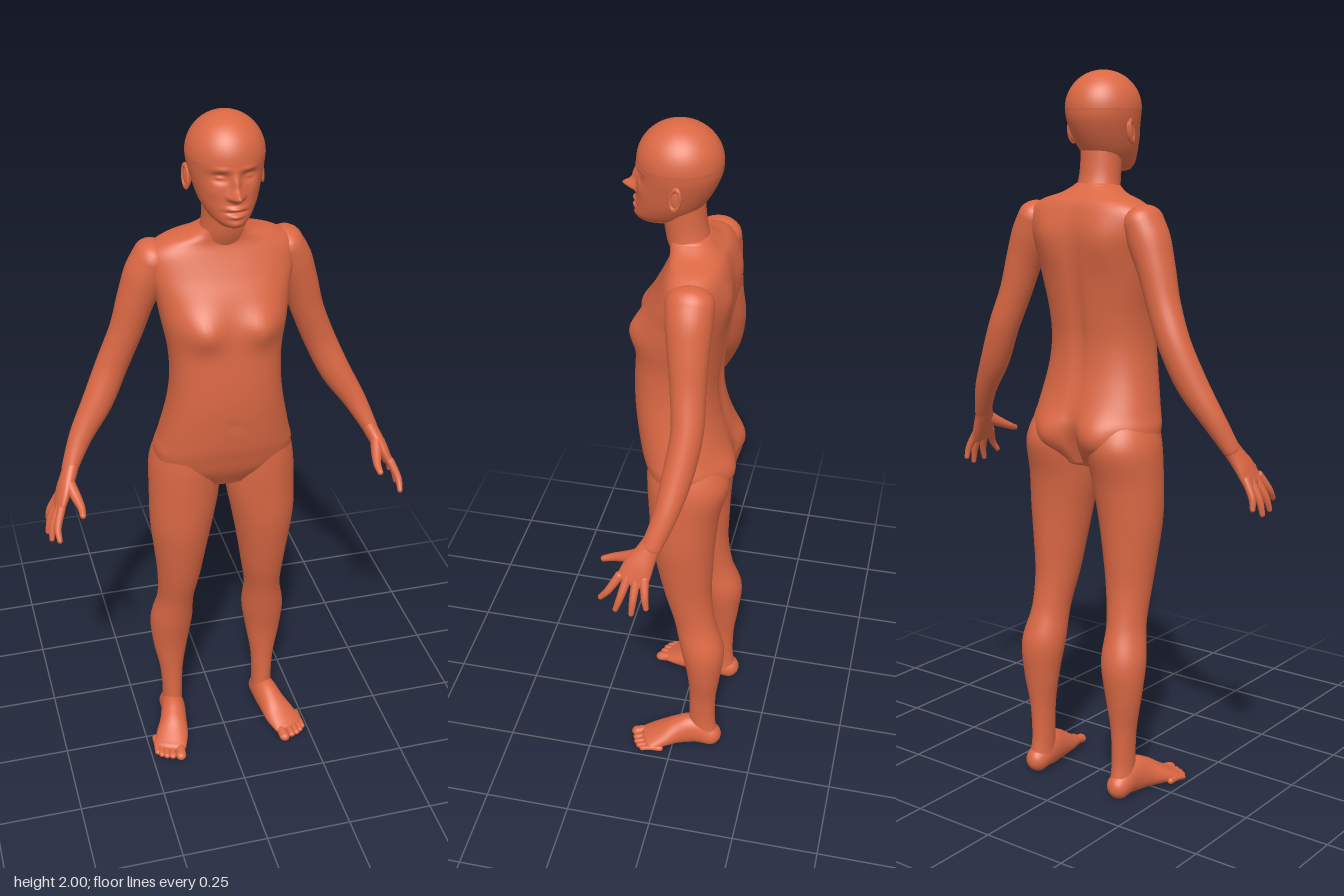
import * as THREE from 'three';

const skin = new THREE.MeshStandardMaterial({ color: 0xdb6844 });
skin.name = 'terracotta skin';

const X = new THREE.Vector3(1, 0, 0), Y = new THREE.Vector3(0, 1, 0), Z = new THREE.Vector3(0, 0, 1);

// Smooth loft through stations [x, y, z, radiusU, radiusV]; ends close with elliptical caps.
function loft(name, stations, { axis = null, ref = Z, caps = [0.01, 0.01], steps = 6, segs = 32, e = 1, shape = null } = {}) {
  const n = stations.length, rings = [];
  const sample = (f) => {
    const i = Math.min(Math.floor(f), n - 2), t = f - i;
    const at = (k) => stations[Math.max(0, Math.min(n - 1, k))];
    return at(i).map((b, k) => {
      const a = at(i - 1)[k], c = at(i + 1)[k], d = at(i + 2)[k];
      return b + 0.5 * t * (c - a + t * (2 * a - 5 * b + 4 * c - d + t * (3 * (b - c) + d - a)));
    });
  };
  const vec = (s) => new THREE.Vector3(s[0], s[1], s[2]);
  const total = (n - 1) * steps;
  for (let i = 0; i <= total; i++) {
    const f = i / steps, s = sample(f);
    const t = axis || vec(sample(Math.min(n - 1, f + 0.1))).sub(vec(sample(Math.max(0, f - 0.1)))).normalize();
    rings.push({ c: vec(s), t, ru: s[3], rv: s[4] });
  }
  const cap = (ring, len, a) => ({
    c: ring.c.clone().addScaledVector(ring.t, len * Math.sin(a)), t: ring.t,
    ru: ring.ru * Math.cos(a), rv: ring.rv * Math.cos(a),
  });
  const first = rings[0], last = rings[total], capSteps = Math.max(6, steps);
  for (let k = 1; k <= capSteps; k++) {
    const a = (k / capSteps) * Math.PI / 2;
    rings.unshift(cap(first, -caps[0], a));
    rings.push(cap(last, caps[1], a));
  }
  const pos = [], index = [];
  const pow = (v) => Math.sign(v) * Math.abs(v) ** e;
  rings.forEach(({ c, t, ru, rv }, i) => {
    const v = ref.clone().addScaledVector(t, -ref.dot(t)).normalize();
    const u = v.clone().cross(t);
    for (let j = 0; j < segs; j++) {
      const a = (j / segs) * Math.PI * 2;
      const p = c.clone().addScaledVector(u, ru * pow(Math.cos(a))).addScaledVector(v, rv * pow(Math.sin(a)));
      if (shape) shape(p);
      pos.push(p.x, p.y, p.z);
      if (i < rings.length - 1) {
        const q = i * segs + j, r = i * segs + (j + 1) % segs;
        index.push(q, r, q + segs, r, r + segs, q + segs);
      }
    }
  });
  const g = new THREE.BufferGeometry();
  g.setAttribute('position', new THREE.Float32BufferAttribute(pos, 3));
  g.setIndex(index);
  g.computeVertexNormals();
  const m = new THREE.Mesh(g, skin);
  m.name = name;
  return m;
}

// Sum of mirrored soft bumps [x, y, widthX, widthY, depth]
const bumps = (list, p) => list.reduce((sum, [x, y, sx, sy, d]) =>
  sum + d * Math.exp(-(((Math.abs(p.x) - x) / sx) ** 2) - ((p.y - y) / sy) ** 2), 0);

const FACE = [
  [0, 1.824, 0.013, 0.013, 0.034], [0, 1.85, 0.01, 0.025, 0.014], // nose tip, bridge
  [0.015, 1.82, 0.008, 0.007, 0.01],                              // nostril wings
  [0.036, 1.867, 0.019, 0.012, -0.013], [0.037, 1.866, 0.012, 0.006, 0.008], // sockets, eyes
  [0.035, 1.888, 0.025, 0.008, 0.004], [0.052, 1.83, 0.02, 0.02, 0.004],    // brows, cheeks
  [0, 1.79, 0.022, 0.006, 0.009], [0, 1.771, 0.019, 0.006, 0.008],          // lips
  [0, 1.7805, 0.024, 0.003, -0.005], [0, 1.748, 0.025, 0.012, 0.006],       // mouth line, chin
];
const CHEST = [[0.08, 1.45, 0.055, 0.05, 0.027], [0, 1.17, 0.01, 0.01, -0.006]];
const BACK = [[0.085, 1.02, 0.06, 0.065, -0.03], [0.09, 1.56, 0.05, 0.07, -0.012],
  [0, 1.35, 0.02, 0.25, 0.012], [0, 1.0, 0.012, 0.06, 0.03]];

// Horizontal ring from height, half width, front z and back z
const ring = ([y, w, zf, zb]) => [0, y, (zf + zb) / 2, w, (zf - zb) / 2];

function head() {
  const g = new THREE.Group();
  g.name = 'head';
  g.add(loft('skull', [
    [1.742, 0.036, 0.12, 0.01], [1.757, 0.054, 0.126, -0.02], [1.79, 0.073, 0.124, -0.05],
    [1.83, 0.086, 0.12, -0.075], [1.87, 0.096, 0.119, -0.092], [1.9, 0.1, 0.12, -0.096],
  ].map(ring), { axis: Y, caps: [0.01, 0.1], steps: 16, segs: 128, shape: (p) => {
    if (p.z > 0.03) p.z += bumps(FACE, p);
  } }));
  for (const s of [-1, 1]) {
    const ear = new THREE.Group();
    ear.name = s > 0 ? 'leftEar' : 'rightEar';
    const bowl = new THREE.Mesh(new THREE.SphereGeometry(1, 20, 14), skin);
    bowl.scale.set(0.008, 0.028, 0.016);
    const rim = new THREE.Mesh(new THREE.TorusGeometry(0.016, 0.0045, 8, 28), skin);
    rim.rotation.y = Math.PI / 2;
    rim.scale.set(0.85, 1.7, 1);
    rim.position.x = 0.005 * s;
    bowl.name = 'earBowl';
    rim.name = 'earRim';
    ear.add(bowl, rim);
    ear.position.set(0.094 * s, 1.84, 0.003);
    ear.rotation.set(-0.15, -0.3 * s, 0);
    g.add(ear);
  }
  return g;
}

function arm(s) {
  const g = new THREE.Group();
  g.name = s > 0 ? 'leftArm' : 'rightArm';
  const side = (list) => list.map(([x, ...r]) => [x * s, ...r]);
  g.add(loft('armLimb', side([
    [0.178, 1.61, -0.05, 0.05, 0.062], [0.198, 1.56, -0.052, 0.056, 0.06], [0.224, 1.49, -0.056, 0.05, 0.053],
    [0.252, 1.4, -0.062, 0.045, 0.046], [0.292, 1.3, -0.068, 0.044, 0.042], [0.338, 1.2, -0.055, 0.042, 0.04],
    [0.392, 1.11, -0.035, 0.032, 0.032], [0.432, 1.03, -0.006, 0.022, 0.027],
  ]), { caps: [0.045, 0.02] }));
  g.add(loft('palm', side([
    [0.422, 1.05, -0.014, 0.021, 0.026], [0.438, 1.015, 0.004, 0.021, 0.03],
    [0.456, 0.98, 0.022, 0.019, 0.039], [0.473, 0.942, 0.036, 0.014, 0.043],
  ]), { caps: [0.01, 0.015] }));
  // fingers: knuckle z, then tip position
  [[0.07, 0.488, 0.882, 0.118], [0.048, 0.504, 0.862, 0.075], [0.025, 0.508, 0.858, 0.032], [0.004, 0.501, 0.878, -0.006]]
    .forEach(([z, x, y, tz], i) => g.add(loft('finger' + (i + 1), side([
      [0.472, 0.952, z, 0.0115, 0.0125], [0.475 * 0.45 + x * 0.55 + 0.006, 0.945 * 0.45 + y * 0.55, z * 0.45 + tz * 0.55, 0.01, 0.01],
      [x, y, tz, 0.0075, 0.0075],
    ]), { segs: 14, caps: [0.01, 0.008] })));
  g.add(loft('thumb', side([
    [0.443, 1.005, 0.022, 0.017, 0.02], [0.43, 0.982, 0.065, 0.0145, 0.0145],
    [0.422, 0.967, 0.098, 0.011, 0.011], [0.422, 0.957, 0.124, 0.0085, 0.0085],
  ]), { ref: Y, segs: 16, caps: [0.01, 0.009] }));
  return g;
}

function leg(s) {
  const g = new THREE.Group();
  g.name = s > 0 ? 'leftLeg' : 'rightLeg';
  const side = (list) => list.map(([x, ...r]) => [x * s, ...r]);
  const sole = (p) => { p.y = Math.max(p.y, 0.002); };
  g.add(loft('legLimb', side([
    [0.147, 0.04, -0.09, 0.033, 0.046], [0.145, 0.1, -0.085, 0.03, 0.04], [0.146, 0.2, -0.086, 0.035, 0.04],
    [0.147, 0.3, -0.089, 0.052, 0.05], [0.143, 0.4, -0.083, 0.063, 0.064], [0.134, 0.5, -0.058, 0.054, 0.06],
    [0.127, 0.6, -0.037, 0.063, 0.068], [0.124, 0.7, -0.027, 0.076, 0.08], [0.12, 0.8, -0.021, 0.09, 0.091],
    [0.111, 0.9, -0.023, 0.099, 0.1], [0.106, 1.0, -0.032, 0.099, 0.114], [0.1, 1.07, -0.02, 0.085, 0.1],
  ]), { axis: Y, segs: 40, caps: [0.03, 0.04] }));
  g.add(loft('foot', side([
    [0.148, 0.036, -0.11, 0.034, 0.036], [0.15, 0.052, -0.06, 0.037, 0.053], [0.16, 0.044, -0.01, 0.041, 0.045],
    [0.174, 0.031, 0.035, 0.049, 0.03], [0.19, 0.02, 0.075, 0.05, 0.017],
  ]), { ref: Y, caps: [0.035, 0.02], shape: sole }));
  // toes: root x, tip x, tip z, radius
  [[0.158, 0.166, 0.118, 0.016], [0.183, 0.19, 0.113, 0.011], [0.2, 0.207, 0.107, 0.0105],
    [0.215, 0.221, 0.098, 0.01], [0.228, 0.231, 0.086, 0.0095]]
    .forEach(([x0, x1, z, r], i) => g.add(loft('toe' + (i + 1), side([
      [x0, 0.02, z - 0.055, r, r], [(x0 + x1) / 2, 0.018, z - 0.025, r * 0.9, r * 0.85], [x1, 0.013, z, r, r * 0.85],
    ]), { ref: Y, segs: 14, caps: [0.01, r], shape: sole })));
  return g;
}

export function createModel() {
  const body = new THREE.Group();
  body.name = 'humanFigure';
  body.add(head());
  body.add(loft('neck', [
    [0, 1.62, -0.045, 0.075, 0.06], [0, 1.68, -0.015, 0.063, 0.058],
    [0, 1.73, -0.002, 0.057, 0.055], [0, 1.8, 0.008, 0.058, 0.058],
  ], { axis: Y }));
  body.add(loft('torso', [
    [0.95, 0.1, 0.055, -0.1], [1.0, 0.18, 0.085, -0.125], [1.05, 0.194, 0.102, -0.135], [1.1, 0.182, 0.115, -0.128],
    [1.2, 0.16, 0.128, -0.106], [1.28, 0.15, 0.13, -0.1], [1.36, 0.152, 0.125, -0.108], [1.45, 0.168, 0.113, -0.12],
    [1.52, 0.18, 0.093, -0.128], [1.58, 0.195, 0.064, -0.13], [1.63, 0.195, 0.042, -0.122], [1.66, 0.155, 0.032, -0.11],
    [1.68, 0.095, 0.034, -0.09], [1.7, 0.06, 0.04, -0.07],
  ].map(ring), { axis: Y, e: 0.85, segs: 72, steps: 8, caps: [0.02, 0.01], shape: (p) => {
    p.z += p.z > 0.01 ? bumps(CHEST, p) : p.z < -0.05 ? bumps(BACK, p) * Math.min(1, (-0.05 - p.z) / 0.03) : 0;
  } }));
  for (const s of [-1, 1]) body.add(arm(s), leg(s));
  return body;
}
